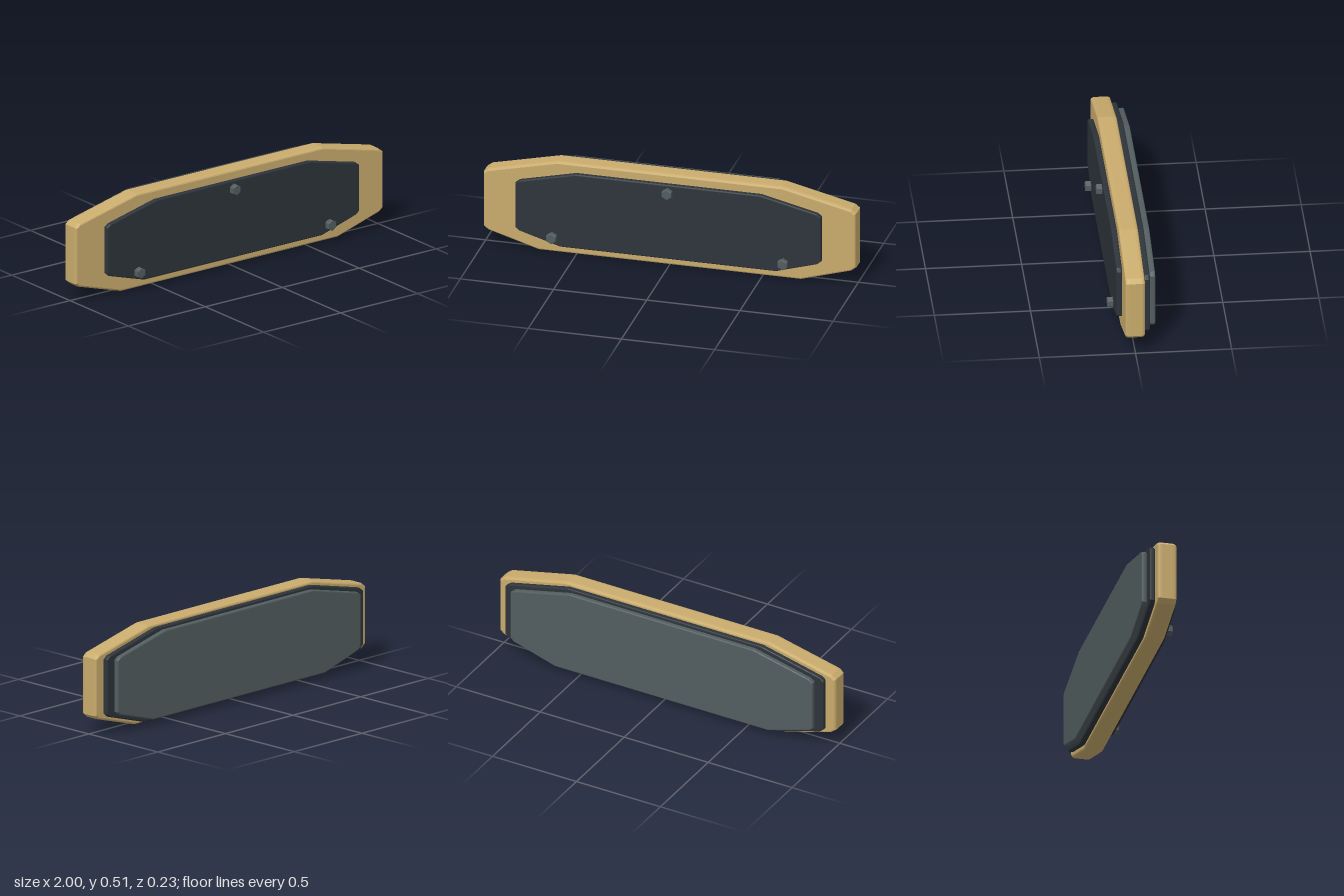
import * as THREE from 'three';

const MID = 0.2575; // height of the centre line

// Long eight-sided outline with nipped end corners, scaled about its centre and inset for the bevel
function outline(scale, inset) {
  const right = [[0.71, 0], [0.98, 0.083], [1, 0.1], [1, 0.41], [0.98, 0.426], [0.61, 0.515]];
  const left = right.map(([x, y]) => [-x, y]).reverse();
  const kx = scale - inset;
  const ky = scale - inset / MID;
  return new THREE.Shape([...right, ...left].map(([x, y]) => new THREE.Vector2(x * kx, (y - MID) * ky)));
}

// Bevelled slab between two z planes
function slab(name, material, scale, z0, z1, size, thickness) {
  const geometry = new THREE.ExtrudeGeometry(outline(scale, size), {
    depth: z1 - z0 - 2 * thickness,
    bevelEnabled: true,
    bevelSize: size,
    bevelThickness: thickness,
    bevelSegments: 3,
  });
  geometry.translate(0, MID, z0 + thickness);
  const mesh = new THREE.Mesh(geometry, material);
  mesh.name = name;
  return mesh;
}

// Small hexagonal stud with chamfered rims, standing on a point
function stud(name, material, x, y) {
  const hexagon = new THREE.Shape();
  const r = 0.026;
  for (let i = 0; i < 6; i++) {
    const a = Math.PI / 2 + (i * Math.PI) / 3;
    if (i === 0) hexagon.moveTo(r * Math.cos(a), r * Math.sin(a));
    else hexagon.lineTo(r * Math.cos(a), r * Math.sin(a));
  }
  hexagon.closePath();
  const geometry = new THREE.ExtrudeGeometry(hexagon, {
    depth: 0.025,
    bevelEnabled: true,
    bevelSize: 0.003,
    bevelThickness: 0.003,
    bevelSegments: 1,
  });
  const mesh = new THREE.Mesh(geometry, material);
  mesh.name = name;
  mesh.position.set(x, y, 0.085);
  return mesh;
}

export function createModel() {
  const tan = new THREE.MeshStandardMaterial({ color: 0xc9ab6c });
  const charcoal = new THREE.MeshStandardMaterial({ color: 0x2d343a });
  const grey = new THREE.MeshStandardMaterial({ color: 0x525d5f });
  tan.name = 'tan';
  charcoal.name = 'charcoal';
  grey.name = 'grey';

  const model = new THREE.Group();
  model.name = 'layeredPlate';

  // Stacked slabs, front to back
  model.add(
    slab('frontPanel', charcoal, 0.82, 0.052, 0.082, 0.007, 0.009),
    slab('body', tan, 1, -0.05, 0.051, 0.011, 0.02),
    slab('backPanel', charcoal, 0.948, -0.081, -0.051, 0.007, 0.009),
    slab('backCover', grey, 0.9, -0.113, -0.083, 0.007, 0.009),
  );

  // Three studs on the front panel
  model.add(
    stud('topStud', grey, 0, 0.425),
    stud('leftStud', grey, 0.62, 0.1),
    stud('rightStud', grey, -0.62, 0.1),
  );
  return model;
}
